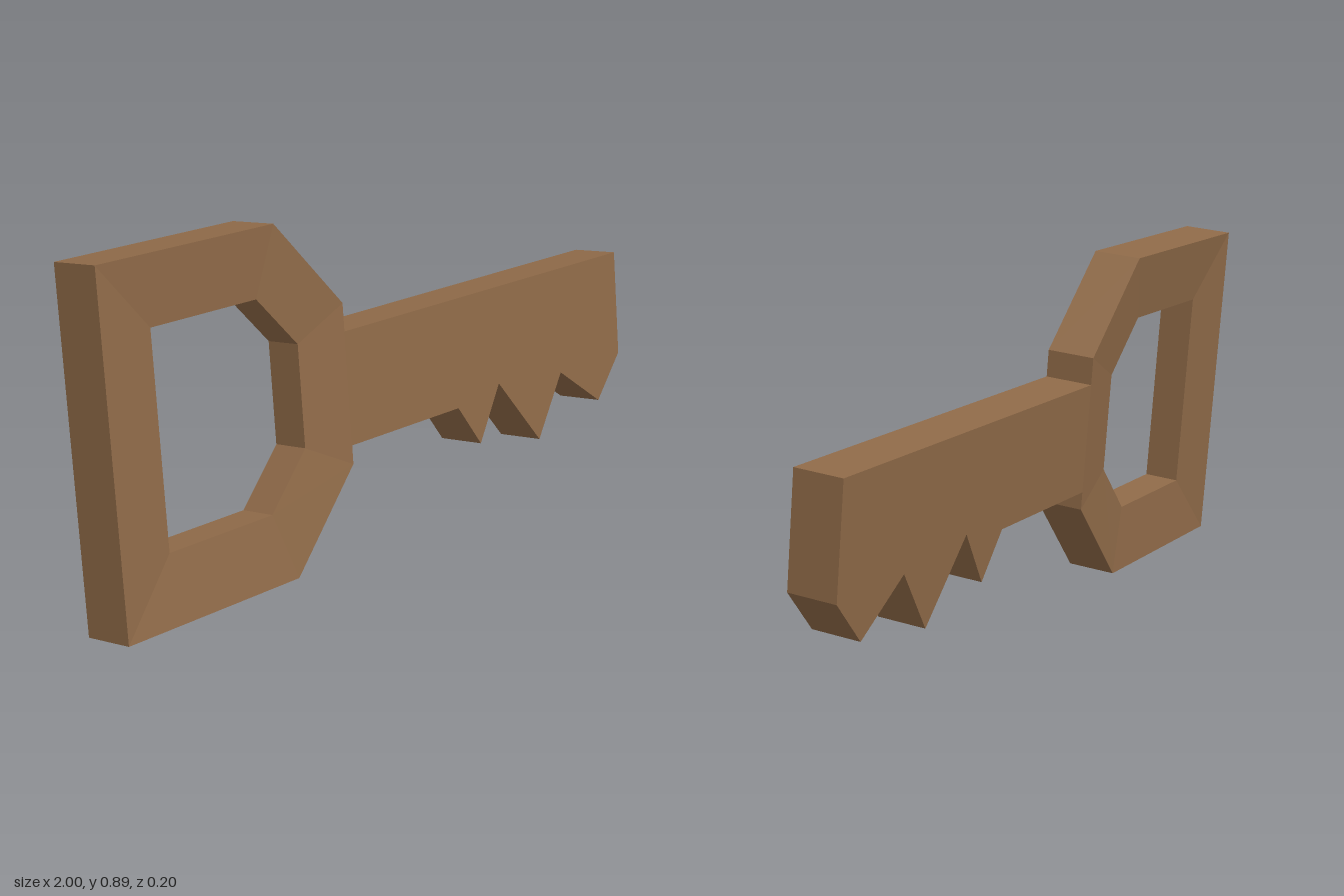
import * as THREE from 'three';

const HALF = 0.066; // half thickness of the key
const INNER_HALF = 0.048; // half thickness at the rim of the opening
const TILT = 0.083;

// Adds the lower half of an outline, mirrored about the long axis
const mirrored = (half) => [...half, ...half.map(([x, y]) => [x, -y]).reverse()];

// Closed frame whose faces slope gently towards the opening
function frameGeometry(outer, inner) {
  const positions = [];
  const indices = [];
  const n = outer.length;
  for (let i = 0; i < n; i++) {
    // Cross-section: outer back, outer front, inner front, inner back
    positions.push(
      ...outer[i], -HALF, ...outer[i], HALF,
      ...inner[i], INNER_HALF, ...inner[i], -INNER_HALF
    );
    for (let k = 0; k < 4; k++) {
      const a = i * 4 + k;
      const b = i * 4 + ((k + 1) % 4);
      const c = ((i + 1) % n) * 4 + ((k + 1) % 4);
      const d = ((i + 1) % n) * 4 + k;
      indices.push(a, b, c, a, c, d);
    }
  }
  const indexed = new THREE.BufferGeometry();
  indexed.setAttribute('position', new THREE.Float32BufferAttribute(positions, 3));
  indexed.setIndex(indices);
  const geometry = indexed.toNonIndexed();
  geometry.computeVertexNormals();
  return geometry;
}

export function createModel() {
  const group = new THREE.Group();
  const material = new THREE.MeshStandardMaterial({ color: 0x8f6a48, flatShading: true });

  // The whole key leans slightly backwards
  const key = new THREE.Group();
  key.name = 'key';
  key.rotation.x = -TILT;
  key.position.y = 0.445;
  group.add(key);

  // Handle: chamfered frame around a matching opening
  const handle = new THREE.Mesh(
    frameGeometry(
      mirrored([[-1, 0.441], [-0.415, 0.441], [-0.185, 0.206]]),
      mirrored([[-0.83, 0.267], [-0.475, 0.267], [-0.34, 0.131]])
    ),
    material
  );
  handle.name = 'handle';
  key.add(handle);

  // Shaft: straight top, pointed teeth along the lower edge
  const profile = [
    [-0.185, 0.134], [1, 0.134], [1, -0.158],
    [0.89, -0.275], [0.715, -0.158], [0.6, -0.323], [0.43, -0.129], [0.337, -0.274],
    [0.25, -0.158], [-0.185, -0.158],
  ].map(([x, y]) => new THREE.Vector2(x, y));
  const shaftGeometry = new THREE.ExtrudeGeometry(new THREE.Shape(profile), {
    depth: 2 * HALF,
    bevelEnabled: false,
  });
  shaftGeometry.translate(0, 0, -HALF);
  const shaft = new THREE.Mesh(shaftGeometry, material);
  shaft.name = 'toothedShaft';
  key.add(shaft);

  return group;
}
